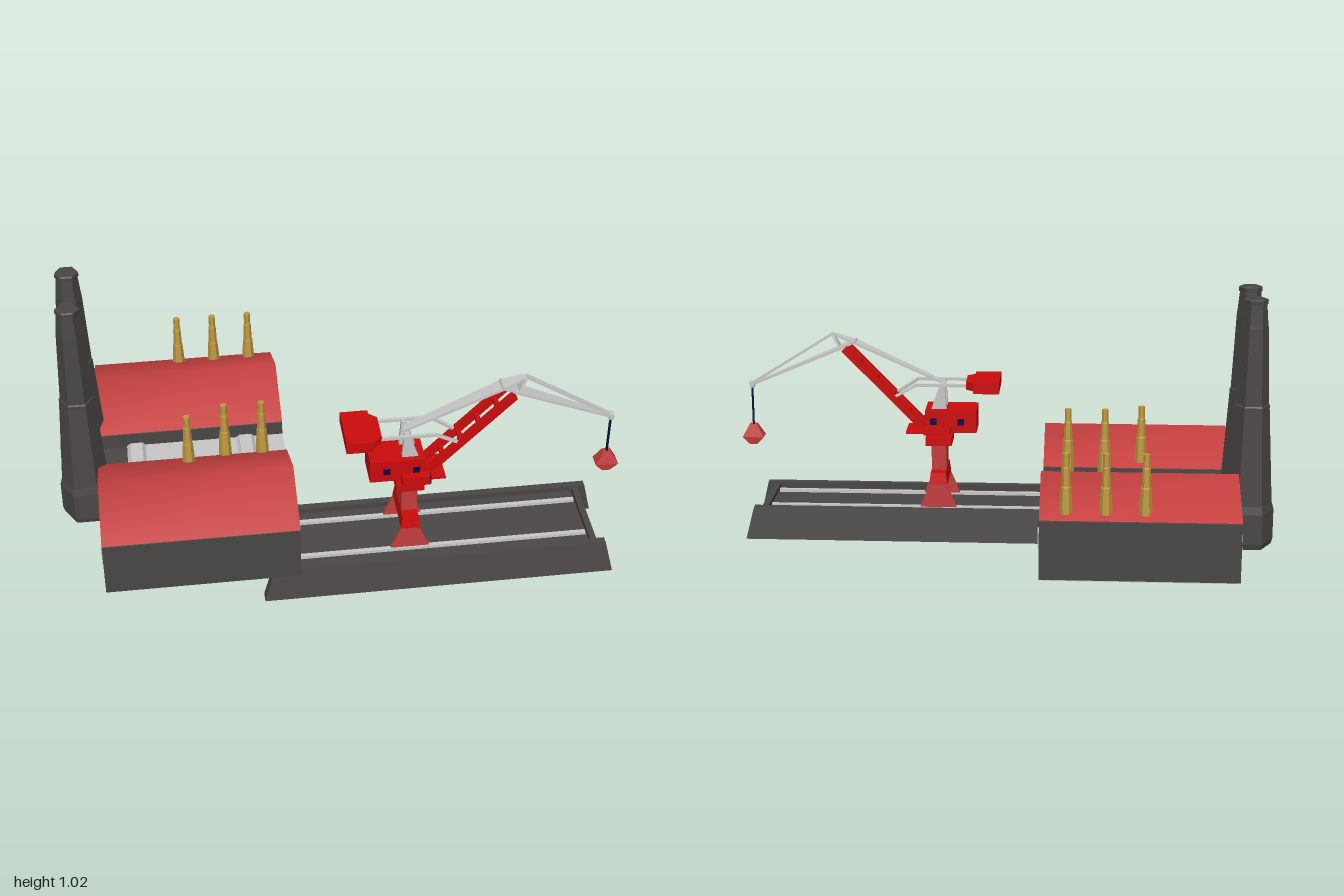
import * as THREE from 'three';

const mat = (name, color) => {
  const m = new THREE.MeshStandardMaterial({ color });
  m.name = name;
  return m;
};

export function createModel() {
  const root = new THREE.Group();
  root.name = 'harbourFactory';
  const charcoal = mat('charcoal', 0x4a4746), brick = mat('brick red', 0xc43f3f);
  const red = mat('bright red', 0xcc0c0c), gold = mat('brass', 0xc09a40);
  const pale = mat('pale grey', 0xc8c8c8), navy = mat('navy', 0x0b0b40);
  const roofMat = brick.clone();
  roofMat.name = 'roof red';
  roofMat.side = THREE.DoubleSide;

  const add = (parent, name, geo, material) => {
    const m = new THREE.Mesh(geo, material);
    m.name = name;
    parent.add(m);
    return m;
  };
  const group = (name) => {
    const g = new THREE.Group();
    g.name = name;
    root.add(g);
    return g;
  };
  const flat = (geo) => {
    const g = geo.index ? geo.toNonIndexed() : geo;
    g.computeVertexNormals();
    return g;
  };
  // Box given by its limits
  const box = (p, name, m, x0, x1, y0, y1, z0, z1) => add(p, name,
    new THREE.BoxGeometry(x1 - x0, y1 - y0, z1 - z0)
      .translate((x0 + x1) / 2, (y0 + y1) / 2, (z0 + z1) / 2), m);
  // Block between a bottom and a top rectangle, each [x0, x1, z0, z1]
  const loft = (p, name, m, y0, a, y1, b) => {
    const g = new THREE.BoxGeometry(1, 1, 1), v = g.attributes.position;
    for (let i = 0; i < v.count; i++) {
      const r = v.getY(i) > 0 ? b : a;
      v.setXYZ(i, v.getX(i) > 0 ? r[1] : r[0], v.getY(i) > 0 ? y1 : y0, v.getZ(i) > 0 ? r[3] : r[2]);
    }
    return add(p, name, flat(g), m);
  };
  // Bar from a to b with thickness t; widths across z may taper
  const bar = (p, name, m, a, b, t, w0 = t, w1 = w0) => {
    const A = new THREE.Vector3(...a), d = new THREE.Vector3(...b).sub(A);
    const g = new THREE.BoxGeometry(t, d.length(), 1), v = g.attributes.position;
    for (let i = 0; i < v.count; i++) v.setZ(i, v.getZ(i) * (v.getY(i) > 0 ? w1 : w0));
    const mesh = add(p, name, flat(g), m);
    mesh.position.copy(A).addScaledVector(d, 0.5);
    mesh.quaternion.setFromUnitVectors(new THREE.Vector3(0, 1, 0), d.normalize());
    return mesh;
  };
  // Six-sided turned stack with corners towards +x and -x
  const stack = (p, name, m, x, z, pts) => add(p, name,
    flat(new THREE.LatheGeometry(pts.map((q) => new THREE.Vector2(...q)), 6, Math.PI / 6)), m)
    .position.set(x, 0, z);

  // Two gabled halls with windows in both ends
  const X0 = -0.855, X1 = -0.17, HALF = 0.222;
  const hall = (name, zc) => {
    const g = group(name);
    const s = new THREE.Shape([[-HALF, 0.112], [HALF, 0.112], [HALF, 0.322], [0, 0.427], [-HALF, 0.322]]
      .map((q) => new THREE.Vector2(...q)));
    add(g, 'walls', new THREE.ExtrudeGeometry(s, { depth: X1 - X0, bevelEnabled: false })
      .rotateY(Math.PI / 2).translate(X0, 0, zc), charcoal);
    const roof = new THREE.PlaneGeometry(X1 - X0, 2 * HALF, 1, 2).rotateX(-Math.PI / 2);
    const v = roof.attributes.position;
    for (let i = 0; i < v.count; i++) v.setY(i, 0.43 - Math.abs(v.getZ(i)) / HALF * 0.105);
    roof.computeVertexNormals();
    add(g, 'roof', roof.translate((X0 + X1) / 2, 0, zc), roofMat);
    for (const x of [X0, X1]) {
      box(g, 'window', navy, x - 0.003, x + 0.003, 0.212, 0.277, zc - 0.16, zc + 0.16);
      for (const k of [-1, 1])
        box(g, 'windowPost', pale, x - 0.005, x + 0.005, 0.21, 0.279, zc + k * 0.17 - 0.012, zc + k * 0.17 + 0.012);
    }
    return g;
  };
  hall('frontHall', 0.304);
  const back = hall('backHall', -0.306);
  box(back, 'floorPlate', pale, X0 + 0.01, X1 - 0.01, 0.108, 0.113, -0.525, -0.088);

  // Low link between the halls
  const link = group('link');
  box(link, 'linkBody', pale, -0.75, X1, 0.112, 0.268, -0.085, 0.083);
  box(link, 'linkEnd', charcoal, X0, -0.75, 0.112, 0.262, -0.085, 0.083);
  for (const x of [-0.715, -0.31])
    loft(link, 'roofRib', pale, 0.267, [x - 0.035, x + 0.035, -0.085, 0.083], 0.282, [x - 0.022, x + 0.022, -0.08, 0.04]);

  // Tall chimneys
  const chimneys = group('chimneys');
  for (const z of [-0.142, 0.08])
    stack(chimneys, 'chimney', charcoal, -0.907, z, [[0, 0.12], [0.086, 0.12], [0.092, 0.14], [0.091, 0.25],
      [0.083, 0.28], [0.062, 0.62], [0.062, 0.635], [0.058, 0.64], [0.046, 0.915], [0.044, 0.93], [0.038, 0.995],
      [0.042, 0.996], [0.042, 1.012], [0.036, 1.016], [0, 1.016]]);

  // Brass vents
  const vents = group('vents');
  for (const [x, z] of [[-0.53, -0.482], [-0.395, -0.482], [-0.26, -0.482], [-0.53, 0.128], [-0.395, 0.078], [-0.26, 0.078]])
    stack(vents, 'vent', gold, x, z, [[0, 0.28], [0.025, 0.28], [0.023, 0.35], [0.018, 0.43], [0.016, 0.435],
      [0.014, 0.5], [0.012, 0.505], [0.012, 0.55], [0, 0.55]]);

  // Quay: recessed core, overhanging side walls, rim and rails
  const quay = group('quay');
  loft(quay, 'quayCore', charcoal, 0, [-0.275, 0.94, 0.165, 0.5], 0.1, [-0.245, 0.91, 0.175, 0.49]);
  loft(quay, 'frontWall', charcoal, 0, [-0.3, 0.965, 0.482, 0.525], 0.122, [-0.265, 0.935, 0.478, 0.505]);
  loft(quay, 'backWall', charcoal, 0, [-0.3, 0.965, 0.14, 0.183], 0.122, [-0.265, 0.935, 0.16, 0.187]);
  for (const [x0, x1] of [[-0.246, -0.225], [0.885, 0.908]])
    box(quay, 'endRim', charcoal, x0, x1, 0.09, 0.118, 0.18, 0.485);
  for (const z of [0.242, 0.423])
    box(quay, 'rail', pale, -0.22, 0.88, 0.1, 0.112, z - 0.008, z + 0.008);

  // Crane portal and column
  const crane = group('crane'), C = 0.328;
  for (const k of [-1, 1]) {
    const z = C + k * 0.09;
    loft(crane, 'leg', brick, 0.11, [0.165, 0.305, z - 0.007, z + 0.007], 0.205, [0.205, 0.265, z - 0.007, z + 0.007]);
  }
  loft(crane, 'portalBeam', red, 0.2, [0.2, 0.27, C - 0.098, C + 0.098], 0.245, [0.206, 0.264, C - 0.09, C + 0.09]);
  box(crane, 'column', brick, 0.207, 0.263, 0.24, 0.35, C - 0.05, C + 0.05);
  box(crane, 'collar', red, 0.185, 0.285, 0.345, 0.375, C - 0.066, C + 0.066);
  box(crane, 'neck', brick, 0.215, 0.255, 0.37, 0.4, C - 0.025, C + 0.025);

  // Machine house, walkway and driver cab
  box(crane, 'machineHouse', red, 0.09, 0.285, 0.397, 0.485, C - 0.062, C + 0.062);
  for (const x of [0.15, 0.255]) for (const k of [-1, 1])
    box(crane, 'houseWindow', navy, x - 0.012, x + 0.012, 0.428, 0.452, C + k * 0.062 - 0.003, C + k * 0.062 + 0.003);
  box(crane, 'walkway', red, 0.22, 0.36, 0.391, 0.398, C - 0.065, C + 0.065);
  box(crane, 'driverCab', red, 0.2, 0.3, 0.392, 0.428, C + 0.062, C + 0.092);
  box(crane, 'cabWindow', navy, 0.299, 0.304, 0.395, 0.424, C + 0.066, C + 0.09);
  box(crane, 'sideLocker', red, 0.19, 0.29, 0.392, 0.42, C - 0.085, C - 0.062);

  // Mast, counterweight and its arms
  for (const k of [-1, 1]) {
    const z = C + k * 0.035, w = C + k * 0.05;
    loft(crane, 'mast', pale, 0.48, [0.205, 0.265, z - 0.008, z + 0.008], 0.585, [0.212, 0.228, z - 0.008, z + 0.008]);
    bar(crane, 'weightArm', pale, [0.1, 0.58, w], [0.32, 0.58, w], 0.011);
    bar(crane, 'weightLink', pale, [0.32, 0.58, w], [0.415, 0.522, C + k * 0.035], 0.011);
  }
  box(crane, 'counterweight', red, 0.003, 0.095, 0.558, 0.601, C - 0.09, C + 0.09);
  loft(crane, 'weightNose', red, 0.558, [0.09, 0.1, C - 0.09, C + 0.09], 0.601, [0.09, 0.1, C - 0.09, C + 0.09]);
  bar(crane, 'weightTaper', red, [0.095, 0.58, C], [0.13, 0.58, C], 0.028, 0.17, 0.11);

  // Red boom of two beams with cross members
  for (const k of [-1, 1])
    bar(crane, 'boomBeam', red, [0.285, 0.398, C + k * 0.037], [0.592, 0.715, C + k * 0.037], 0.024, 0.026);
  for (let i = 1; i <= 4; i++)
    bar(crane, 'boomBrace', red, [0.29 + i * 0.062, 0.403 + i * 0.064, C - 0.03], [0.29 + i * 0.062, 0.403 + i * 0.064, C + 0.03], 0.016);

  // Pale tie from mast to boom head, and tapering jib
  bar(crane, 'backTie', pale, [0.215, 0.578, C], [0.56, 0.737, C], 0.009, 0.03, 0.056);
  bar(crane, 'headTie', pale, [0.56, 0.737, C], [0.64, 0.765, C], 0.009, 0.056, 0.02);
  bar(crane, 'headStrut', pale, [0.64, 0.765, C], [0.61, 0.705, C], 0.009, 0.02, 0.05);
  bar(crane, 'headBase', pale, [0.55, 0.74, C], [0.62, 0.708, C], 0.01, 0.056);
  bar(crane, 'jibTop', pale, [0.64, 0.765, C], [0.957, 0.566, C], 0.008, 0.02);
  bar(crane, 'jibPlate', pale, [0.615, 0.71, C], [0.957, 0.562, C], 0.009, 0.056, 0.02);
  box(crane, 'jibTip', pale, 0.947, 0.965, 0.553, 0.574, C - 0.013, C + 0.013);

  // Hoist rope and grab
  box(crane, 'rope', navy, 0.953, 0.959, 0.4, 0.556, C - 0.005, C + 0.005);
  loft(crane, 'grabTop', brick, 0.357, [0.915, 0.997, C - 0.025, C + 0.025], 0.405, [0.942, 0.97, C - 0.012, C + 0.012]);
  loft(crane, 'grabJaw', brick, 0.328, [0.942, 0.97, C - 0.02, C + 0.02], 0.357, [0.915, 0.997, C - 0.025, C + 0.025]);

  return root;
}
